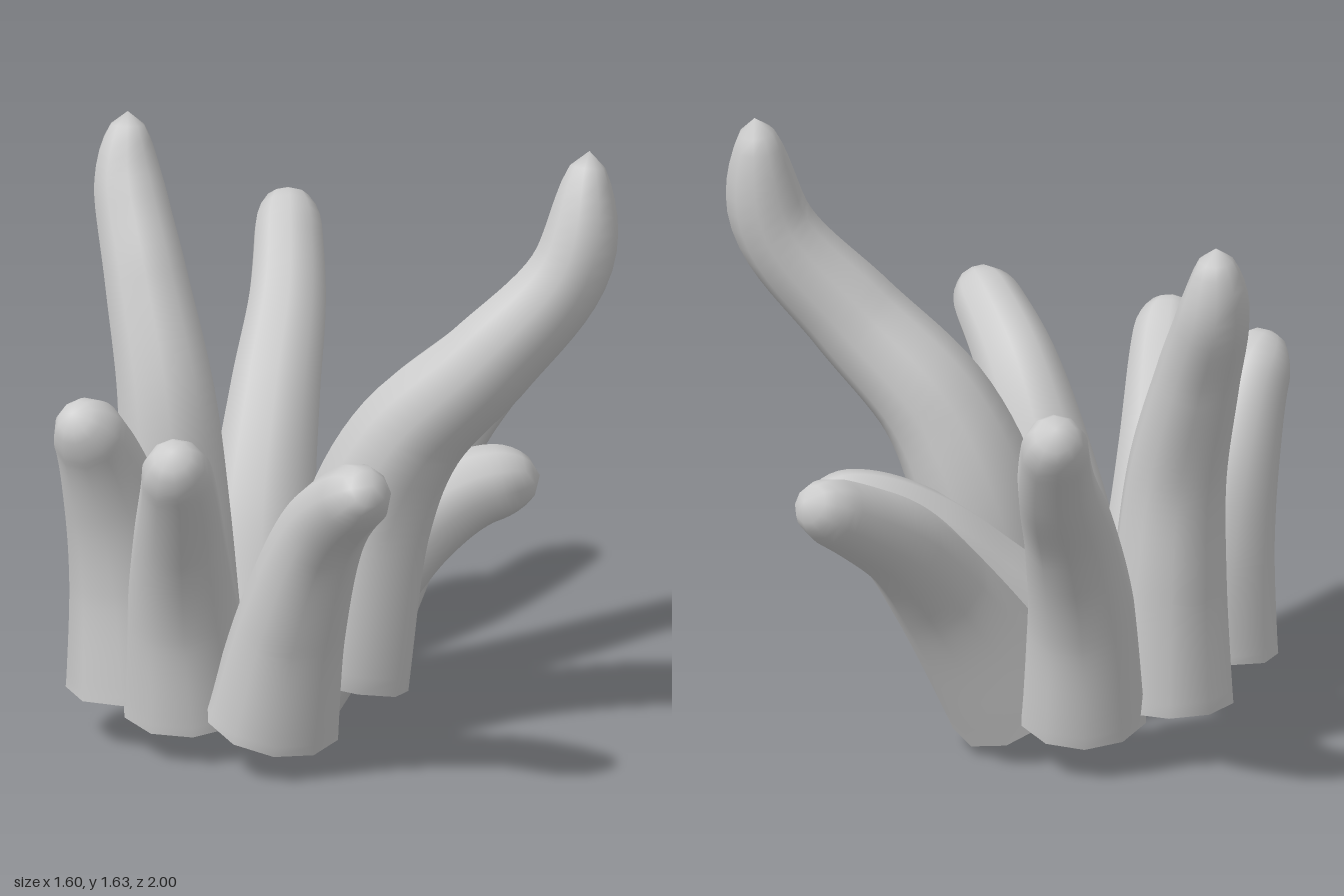
import * as THREE from 'three';
import { mergeVertices } from 'three/addons/utils/BufferGeometryUtils.js';

const material = new THREE.MeshStandardMaterial({ color: 0xcccccc, side: THREE.DoubleSide });
const SIDES = 10, RINGS = 40;

// Tapered tube, open at the base and rounded at the tip; tipLength is the rounding in tip radii
function tentacle(name, baseRadius, tipRadius, tipLength, points) {
  const curve = new THREE.CatmullRomCurve3(points.map(p => new THREE.Vector3(...p)));
  let geo = new THREE.TubeGeometry(curve, RINGS, 1, SIDES, false);
  const pos = geo.attributes.position;
  const v = new THREE.Vector3();
  const capStart = 1 - tipRadius * tipLength / curve.getLength();
  for (let i = 0; i <= RINGS; i++) {
    const u = i / RINGS;
    const centre = curve.getPointAt(u);
    let r = THREE.MathUtils.lerp(baseRadius, tipRadius, Math.pow(u, 0.9));
    if (u > capStart) r *= Math.sqrt(Math.max(0, 1 - ((u - capStart) / (1 - capStart)) ** 2));
    for (let j = 0; j <= SIDES; j++) {
      const k = i * (SIDES + 1) + j;
      v.fromBufferAttribute(pos, k).sub(centre).multiplyScalar(r).add(centre);
      pos.setXYZ(k, v.x, v.y, v.z);
    }
  }
  // Weld the seam so the shading stays smooth all round
  geo.deleteAttribute('uv');
  geo.deleteAttribute('normal');
  geo = mergeVertices(geo, 1e-4);
  geo.computeVertexNormals();
  const mesh = new THREE.Mesh(geo, material);
  mesh.name = name;
  return mesh;
}

export function createModel() {
  const group = new THREE.Group();
  group.name = 'tentacleCluster';
  // name, base radius, tip radius, tip length, centre line from base to tip
  const specs = [
    ['tallBackTentacle', 0.185, 0.088, 2.8,
      [[-0.285, 0.16, -0.36], [-0.29, 0.5, -0.37], [-0.3, 0.8, -0.4], [-0.315, 1.1, -0.52], [-0.32, 1.35, -0.65], [-0.31, 1.52, -0.68]]],
    ['backTentacle', 0.175, 0.085, 1.5,
      [[-0.045, 0.14, -0.37], [-0.01, 0.45, -0.45], [0.07, 0.72, -0.58], [0.17, 0.93, -0.76], [0.25, 1.17, -0.98]]],
    ['backLeftTentacle', 0.19, 0.082, 1.5,
      [[0.075, 0.135, -0.16], [0.3, 0.47, -0.23], [0.45, 0.65, -0.32], [0.6, 0.76, -0.4], [0.79, 0.87, -0.49]]],
    ['shortLeftTentacle', 0.195, 0.09, 1.4,
      [[-0.135, 0.13, 0.025], [0.1, 0.39, 0.05], [0.25, 0.53, 0.065], [0.4, 0.615, 0.085], [0.575, 0.64, 0.115]]],
    ['tallFrontTentacle', 0.21, 0.088, 3.2,
      [[-0.045, 0.17, 0.2], [0.06, 0.6, 0.195], [0.15, 0.83, 0.26], [0.335, 1.06, 0.39], [0.54, 1.32, 0.465], [0.6, 1.63, 0.44]]],
    ['frontTentacle', 0.185, 0.085, 1.5,
      [[-0.29, 0.13, 0.42], [-0.27, 0.43, 0.52], [-0.24, 0.74, 0.7], [-0.21, 0.93, 0.99]]],
    ['frontRightTentacle', 0.19, 0.085, 1.4,
      [[-0.435, 0.13, 0.18], [-0.48, 0.4, 0.24], [-0.525, 0.62, 0.34], [-0.58, 0.83, 0.48], [-0.63, 0.95, 0.57]]],
    ['rightTentacle', 0.215, 0.085, 1.4,
      [[-0.505, 0.16, 0.01], [-0.55, 0.45, 0.02], [-0.61, 0.67, 0.05], [-0.69, 0.86, 0.11], [-0.77, 0.96, 0.17]]],
  ];
  for (const spec of specs) group.add(tentacle(...spec));
  return group;
}
